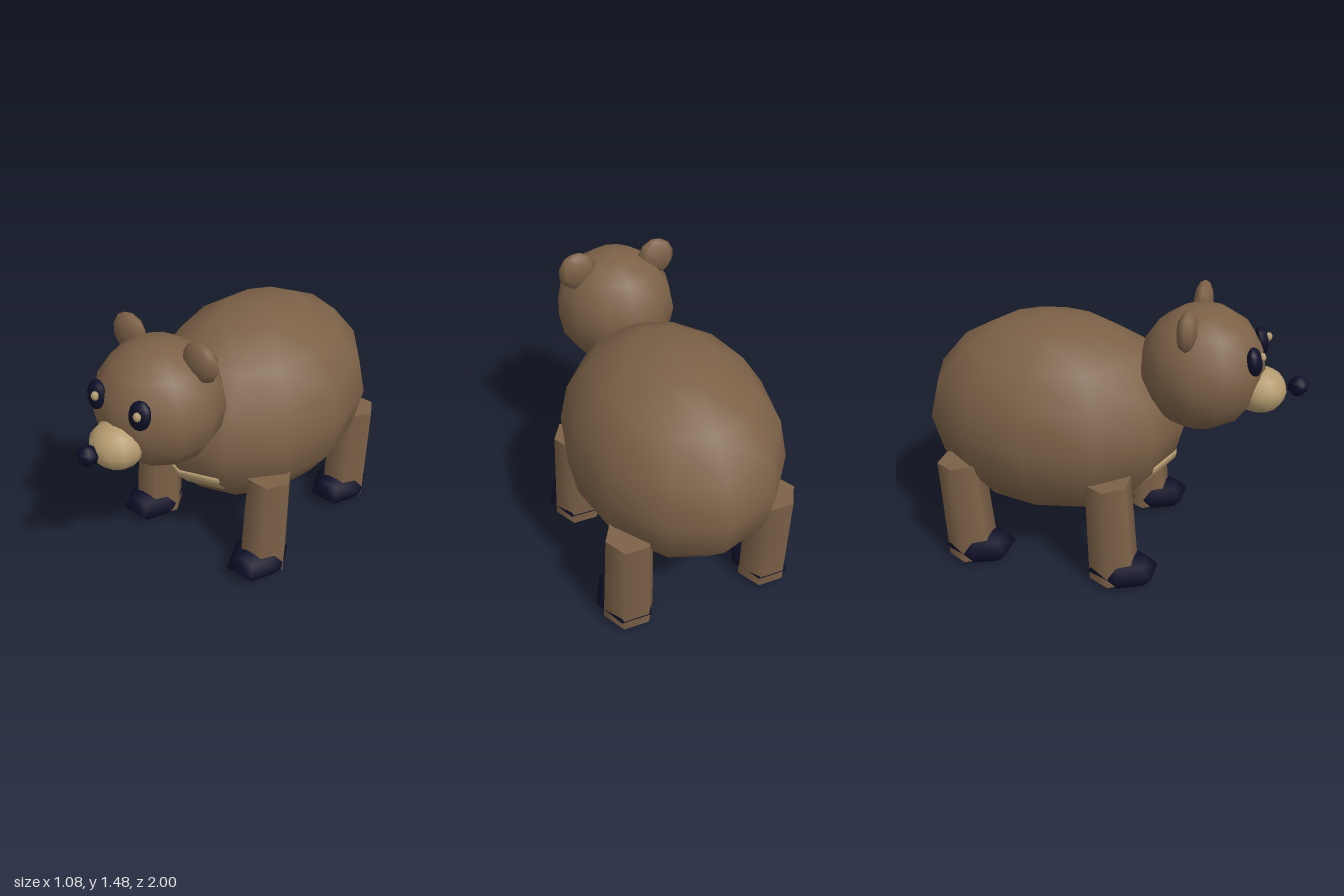
import * as THREE from 'three';

export function createModel() {
  const model = new THREE.Group();
  model.name = 'bear';
  const mat = (name, color, side = THREE.FrontSide) => {
    const m = new THREE.MeshStandardMaterial({ color, side });
    m.name = name;
    return m;
  };
  const brown = mat('brown fur', 0x7c6147);
  const tan = mat('tan fur', 0xb39a6e, THREE.DoubleSide);
  const navy = mat('dark navy', 0x0e0e28);

  const add = (name, geometry, material, position, rotation = [0, 0, 0]) => {
    const mesh = new THREE.Mesh(geometry, material);
    mesh.name = name;
    mesh.position.set(...position);
    mesh.rotation.set(...rotation);
    model.add(mesh);
    return mesh;
  };
  // Low-poly ellipsoid; turn spins its sides before scaling
  const ball = (radii, w, h, turn = 0) =>
    new THREE.SphereGeometry(1, w, h).rotateY(turn).scale(...radii);

  // Body and head
  add('body', ball([0.54, 0.54, 0.7], 12, 8), brown, [0, 0.775, -0.3]);
  add('head', ball([0.32, 0.32, 0.317], 12, 8), brown, [0, 1.12, 0.475]);

  // Muzzle and nose
  add('muzzle', ball([0.135, 0.115, 0.13], 12, 8), tan, [0, 1.03, 0.77]);
  add('nose', ball([0.05, 0.052, 0.05], 6, 6, Math.PI / 6), navy, [0, 1.07, 0.95]);

  for (const s of [1, -1]) {
    const side = s > 0 ? 'left' : 'right';
    add(side + 'Ear', ball([0.102, 0.102, 0.05], 8, 6), brown, [s * 0.217, 1.385, 0.43], [0, 0, -s * 0.26]);
    add(side + 'Eye', ball([0.057, 0.072, 0.034], 10, 8), navy, [s * 0.135, 1.233, 0.745], [-0.22, s * 0.2, -s * 0.06]);
    // Both glints sit toward the same side
    add(side + 'EyeGlint', ball([0.02, 0.023, 0.018], 8, 6), tan, [s * 0.13 + 0.02, 1.25, 0.777]);

    // Six-sided legs lean so the paws come forward
    for (const [end, z] of [['Front', 0.11], ['Hind', -0.69]]) {
      const leg = new THREE.CylinderGeometry(0.12, 0.134, 0.57, 6).rotateY(Math.PI / 6);
      add(side + end + 'Leg', leg, brown, [s * 0.38, 0.322, z], [-0.06, 0, 0]);
      add(side + end + 'Paw', ball([0.153, 0.085, 0.195], 6, 4), navy, [s * 0.383, 0.089, z + 0.065]);
    }
  }

  // Chest patch: thin shell wrapped over the front facets; outer points tuck into the body
  const rows = [[0.613, 0.3, 0.2], [0.613, 0.365, 0.2], [0.59, 0.363, 0.206], [0.567, 0.357, 0.195], [0.5, 0.3, 0.19], [0.5, 0.25, 0.19]];
  const patch = new THREE.PlaneGeometry(1, 1, 4, rows.length - 1);
  const p = patch.attributes.position;
  for (let i = 0; i < p.count; i++) {
    const [y, z, half] = rows[Math.floor(i / 5)];
    const c = (i % 5) - 2;
    const x = Math.sign(c) * half;
    p.setXYZ(i, x, y, z - 0.36 * Math.abs(x) - (Math.abs(c) === 2 ? 0.04 : 0));
  }
  patch.computeVertexNormals();
  add('chestPatch', patch, tan, [0, 0, 0]);

  return model;
}
